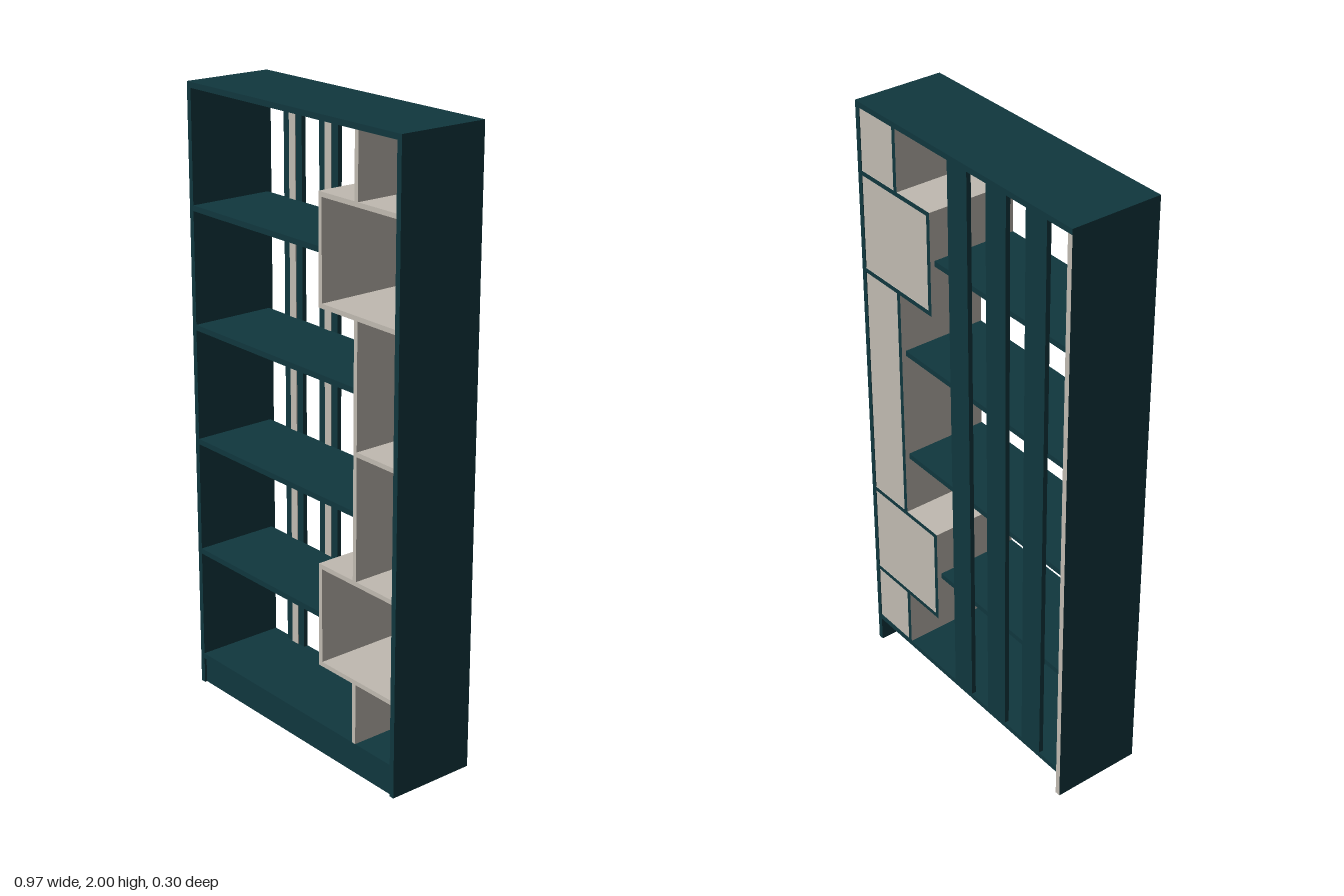
import * as THREE from 'three';

export function createModel() {
  const model = new THREE.Group();
  model.name = 'bookcase';
  const teal = new THREE.MeshStandardMaterial({ color: 0x10373e });
  teal.name = 'dark teal';
  const beige = new THREE.MeshStandardMaterial({ color: 0xc0bab1 });
  beige.name = 'warm beige';

  const X = 0.485, Z = 0.15, T = 0.018;
  const inner = X - T;

  // Box given by its limits; backMat recolours the rear edge
  function board(name, x0, x1, y0, y1, z0, z1, mat, backMat) {
    const geo = new THREE.BoxGeometry(x1 - x0, y1 - y0, z1 - z0);
    const mesh = new THREE.Mesh(geo, backMat ? [mat, mat, mat, mat, mat, backMat] : mat);
    mesh.position.set((x0 + x1) / 2, (y0 + y1) / 2, (z0 + z1) / 2);
    mesh.name = name;
    model.add(mesh);
  }

  // Outer carcass
  board('rightSidePanel', -X, -inner, 0, 2 - T, -Z, Z, teal, beige);
  board('leftSidePanel', inner, X, 0, 2 - T, -Z, Z, teal);
  board('topPanel', -X, X, 2 - T, 2, -Z, Z, teal);
  board('bottomPanel', -inner, inner, 0.088, 0.106, -Z, Z, teal);
  board('plinth', -inner, inner, 0, 0.088, Z - 0.026, Z - 0.008, teal);

  // Open shelves, stopping at the cubes or at the divider
  const cubeX = 0.136, dividerX = 0.293, W = 0.015;
  [[0.476, cubeX], [0.856, dividerX], [1.235, dividerX], [1.615, cubeX]].forEach(([y, end]) =>
    board('shelf', -inner, end, y - T / 2, y + T / 2, -Z + 0.015, Z, teal));

  // Back slats with a light centre strip on the front
  [-0.339, -0.167, 0.005].forEach((x) => {
    board('backSlat', x - 0.044, x + 0.044, 0.106, 2 - T, -Z, -Z + 0.015, teal);
    board('slatStrip', x - 0.015, x + 0.015, 0.106, 2 - T, -Z + 0.015, -Z + 0.018, beige);
  });

  // Two wide cubes with dark rear edges
  [[0.306, 0.645], [1.443, 1.783]].forEach(([y0, y1]) => {
    board('cubeSide', cubeX, cubeX + W, y0, y1, -Z, Z, beige, teal);
    board('cubeBase', cubeX + W, inner, y0, y0 + W, -Z, Z, beige, teal);
    board('cubeTop', cubeX + W, inner, y1 - W, y1, -Z, Z, beige, teal);
    board('cubeBack', cubeX + W, inner, y0 + W, y1 - W, -Z + 0.002, -Z + 0.014, beige);
  });

  // Narrow column between and around the cubes
  [[0.106, 0.306], [0.645, 1.443], [1.783, 2 - T]].forEach(([y0, y1]) => {
    board('columnDivider', dividerX, dividerX + W, y0, y1, -Z, Z, beige, teal);
    board('columnBack', dividerX + W, inner, y0, y1, -Z + 0.002, -Z + 0.014, beige);
  });
  board('columnShelf', dividerX + W, inner, 1.037, 1.052, -Z + 0.014, Z, beige);

  return model;
}
